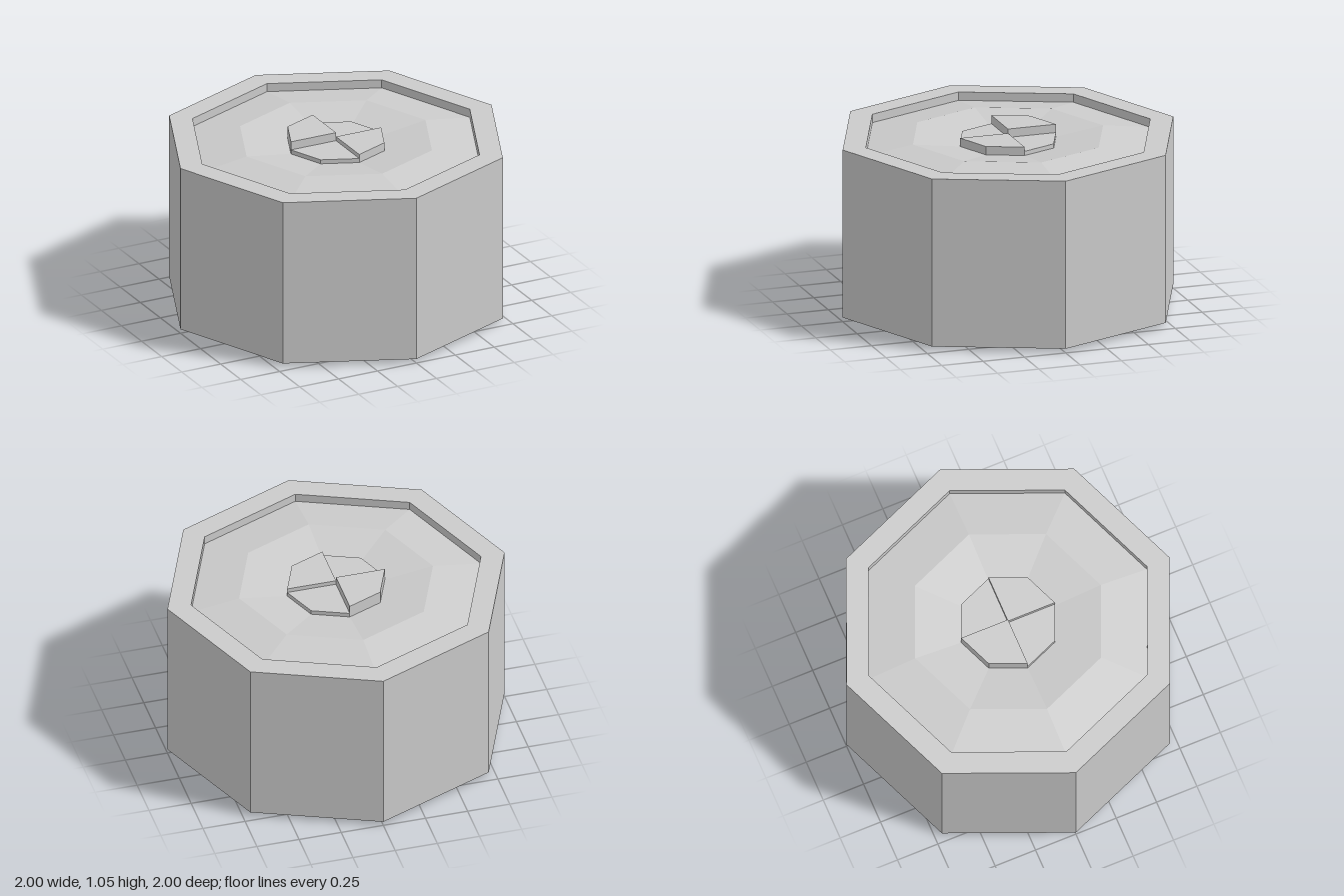
import * as THREE from 'three';

export function createModel() {
  const group = new THREE.Group();
  const material = new THREE.MeshStandardMaterial({ color: 0xcccccc, flatShading: true });

  const add = (geometry, name) => {
    const flat = geometry.index ? geometry.toNonIndexed() : geometry;
    flat.computeVertexNormals();
    const mesh = new THREE.Mesh(flat, material);
    mesh.name = name;
    group.add(mesh);
    return mesh;
  };

  const bottom = 0.03, top = 1.03; // rim planes
  const recess = 0.05, ridge = 0.01; // depths below the rim
  const hubRadius = 0.29;

  // Octagonal body: recessed faces with a low ridge inside a raised rim
  const profile = [
    [hubRadius, bottom + recess], [0.575, bottom + ridge], [0.86, bottom + recess],
    [0.86, bottom], [1, bottom], [1, top], [0.86, top],
    [0.86, top - recess], [0.575, top - ridge], [hubRadius, top - recess],
  ].map(([r, y]) => new THREE.Vector2(r, y));
  add(new THREE.LatheGeometry(profile, 8), 'body');

  // Octagonal hubs, each split into four quadrants of stepped height
  const d = hubRadius * Math.SQRT1_2;
  const quadrant = new THREE.Shape([
    new THREE.Vector2(0, 0), new THREE.Vector2(hubRadius, 0),
    new THREE.Vector2(d, d), new THREE.Vector2(0, hubRadius),
  ]);
  const heights = [0.025, 0.075, 0.025, 0.05];
  heights.forEach((h, k) => {
    for (const side of ['top', 'bottom']) {
      const geometry = new THREE.ExtrudeGeometry(quadrant, { depth: h, bevelEnabled: false });
      geometry.rotateX(-Math.PI / 2).rotateY(k * Math.PI / 2);
      const y = side === 'top' ? top - recess : bottom + recess - h;
      add(geometry.translate(0, y, 0), `${side}HubQuadrant${k + 1}`);
    }
  });

  return group;
}
